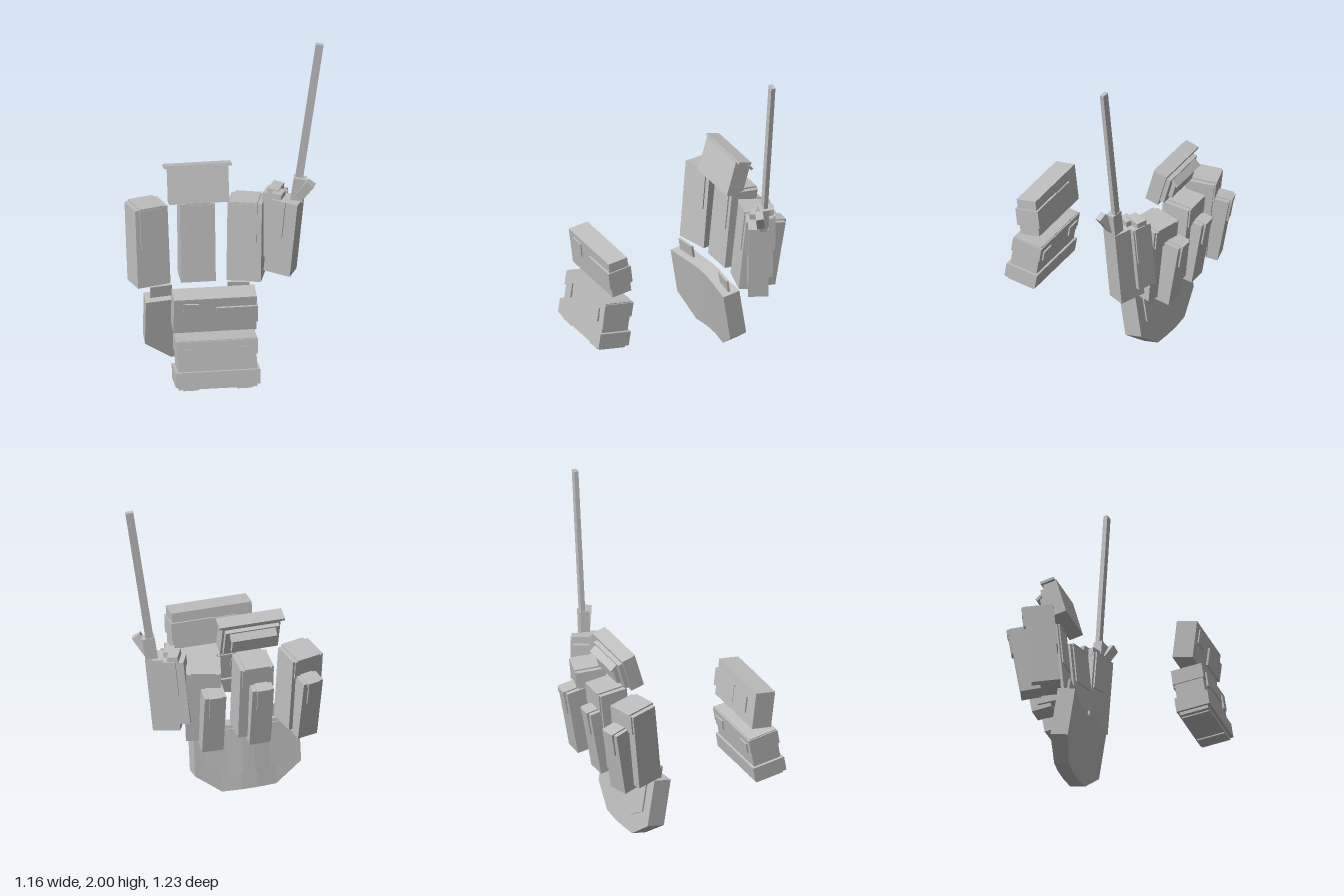
import * as THREE from 'three';

const grey = new THREE.MeshStandardMaterial({ color: 0xc0c0c0, flatShading: true });
grey.name = 'lightGrey';

// Box mesh with size, position and optional rotation (yaw applied first)
function box(parent, name, size, pos, rot = [0, 0, 0]) {
  const m = new THREE.Mesh(new THREE.BoxGeometry(...size), grey);
  m.name = name;
  m.position.set(...pos);
  m.rotation.set(rot[0], rot[1], rot[2], 'YXZ');
  parent.add(m);
  return m;
}

function part(parent, name, pos, rot = [0, 0, 0]) {
  const g = new THREE.Group();
  g.name = name;
  g.position.set(...pos);
  g.rotation.set(rot[0], rot[1], rot[2], 'YXZ');
  parent.add(g);
  return g;
}

// Curved slab from columns [x, bottom, top, front z, back z]
function slab(columns) {
  const loops = columns.map(([x, b, t, f, r]) => [[x, b, f], [x, b, r], [x, t, r], [x, t, f]]);
  const p = [];
  const quad = (a, b, c, d) => p.push(...a, ...b, ...c, ...a, ...c, ...d);
  for (let i = 0; i < loops.length - 1; i++) {
    for (let k = 0; k < 4; k++) {
      const n = (k + 1) % 4;
      quad(loops[i][k], loops[i][n], loops[i + 1][n], loops[i + 1][k]);
    }
  }
  const s = loops[0], e = loops[loops.length - 1];
  quad(e[0], e[1], e[2], e[3]);
  quad(s[3], s[2], s[1], s[0]);
  const g = new THREE.BufferGeometry();
  g.setAttribute('position', new THREE.Float32BufferAttribute(p, 3));
  g.computeVertexNormals();
  return g;
}

export function createModel() {
  const model = new THREE.Group();
  model.name = 'pouchSet';

  // Lower front pouch: body, wide skirt, lid and clips
  const low = part(model, 'lowerFrontPouch', [-0.165, 0.36, 0.492], [-0.16, 0, 0]);
  box(low, 'body', [0.465, 0.30, 0.175], [0, 0, 0]);
  box(low, 'lid', [0.48, 0.09, 0.19], [0, 0.1, 0]);
  box(low, 'skirt', [0.50, 0.09, 0.205], [0, -0.085, 0.002]);
  for (const s of [-1, 1]) {
    box(low, 'clip', [0.045, 0.09, 0.012], [s * 0.165, 0.06, 0.098]);
    box(low, 'rearClip', [0.09, 0.06, 0.012], [s * 0.16, 0.08, -0.098]);
    box(low, 'foot', [0.09, 0.012, 0.17], [s * 0.16, -0.152, 0]);
  }

  // Upper front pouch with side pocket and patch
  const up = part(model, 'upperFrontPouch', [-0.173, 0.68, 0.465], [0.12, 0, 0]);
  box(up, 'body', [0.49, 0.23, 0.125], [0, 0, 0]);
  box(up, 'sidePocket', [0.245, 0.11, 0.15], [0.13, 0, 0]);
  box(up, 'patch', [0.09, 0.09, 0.008], [-0.145, 0.04, 0.066], [0, 0, -0.05]);
  box(up, 'rearPanel', [0.24, 0.10, 0.01], [-0.03, 0, -0.067]);

  // Curved lower back plate with tabs and a raised rear panel
  const plate = part(model, 'backPlate', [-0.172, 0, -0.28], [0.155, 0, 0]);
  const half = [[0.325, 0.125, 0.033, -0.075], [0.165, 0.005, 0.013, -0.08], [0.05, 0.005, 0, -0.09]];
  const cols = [
    ...half.map(([x, b, f, r]) => [-x, b, 0.42, f, r]),
    ...half.slice().reverse().map(([x, b, f, r]) => [x, b, 0.42, f, r]),
  ];
  const shell = new THREE.Mesh(slab(cols), grey);
  shell.name = 'plateShell';
  plate.add(shell);
  const panelCols = cols.map(([x, , , , r]) => [x * 0.78, Math.abs(x) > 0.3 ? 0.19 : 0.11, 0.40, r + 0.01, r - 0.012]);
  const panel = new THREE.Mesh(slab(panelCols), grey);
  panel.name = 'rearPanel';
  plate.add(panel);
  for (const s of [-1, 1]) {
    box(plate, 'plateTab', [0.13, 0.11, 0.014], [s * 0.23, 0.44, -0.03], [0, -s * 0.12, 0]);
  }

  // Three tall pouches wrapped round the back, each with a small pouch behind
  const tall = [[-0.462, -0.395, 0.26], [-0.17, -0.42, 0], [0.122, -0.395, -0.26]];
  for (const [x, z, yaw] of tall) {
    const p = part(model, 'tallPouch', [x, 0.7, z], [-0.1, yaw, 0]);
    box(p, 'body', [0.205, 0.49, 0.17], [0, 0, 0]);
    box(p, 'frontFlap', [0.15, 0.24, 0.01], [0, 0.12, 0.088]);
    box(p, 'topStrap', [0.15, 0.012, 0.19], [0, 0.248, 0]);
    box(p, 'rearFlap', [0.18, 0.12, 0.012], [0, 0.185, -0.088]);
  }
  const small = [[-0.475, -0.495, 0.25], [-0.19, -0.495, 0], [0.10, -0.5, -0.04]];
  for (const [x, z, yaw] of small) {
    const p = part(model, 'smallPouch', [x, 0.625, z], [-0.17, yaw, 0]);
    box(p, 'body', [0.13, 0.41, 0.12], [0, 0, 0]);
    box(p, 'cap', [0.08, 0.035, 0.14], [0, 0.195, -0.004]);
    box(p, 'capFlap', [0.07, 0.14, 0.01], [0, 0.13, -0.066]);
  }

  // Top box with lip and stepped rear layers
  const top = part(model, 'topBox', [-0.168, 1.09, -0.355], [-0.28, 0, 0]);
  box(top, 'body', [0.355, 0.22, 0.085], [0, 0, 0]);
  box(top, 'lip', [0.40, 0.016, 0.085], [0, 0.112, -0.008]);
  box(top, 'rearLayer', [0.33, 0.17, 0.03], [0, 0, -0.055]);
  box(top, 'rearPocket', [0.25, 0.11, 0.03], [0, 0, -0.08]);
  box(top, 'rearFlap', [0.28, 0.016, 0.05], [0, 0.06, -0.09], [-0.5, 0, 0]);

  // Angled side pouches with straps folded over the top
  const tilt = [0, -0.46, -0.1];
  const side = part(model, 'sidePouch', [0.335, 0.75, -0.315], tilt);
  box(side, 'body', [0.165, 0.48, 0.12], [0, 0, 0]);
  const rear = part(model, 'rearSidePouch', [0.275, 0.79, -0.39], tilt);
  box(rear, 'body', [0.125, 0.42, 0.10], [0, 0, 0]);
  box(rear, 'rearFlap', [0.07, 0.24, 0.012], [0.02, 0.1, -0.056]);
  box(rear, 'topStrap', [0.065, 0.05, 0.11], [0, 0.225, 0]);
  box(side, 'frontFlap', [0.08, 0.24, 0.012], [-0.03, 0.125, 0.065]);
  box(side, 'frontStrap', [0.06, 0.05, 0.08], [-0.055, 0.25, 0.01]);

  // Aerial with its base and a slanted knob
  box(model, 'aerialBase', [0.075, 0.15, 0.055], [0.42, 1.05, -0.30], [0, -0.2, -0.14]);
  box(model, 'knob', [0.055, 0.13, 0.045], [0.455, 1.06, -0.262], [0.12, -0.4, -0.62]);
  box(model, 'aerial', [0.046, 0.93, 0.026], [0.482, 1.537, -0.302], [0, -0.12, -0.137]);

  return model;
}
